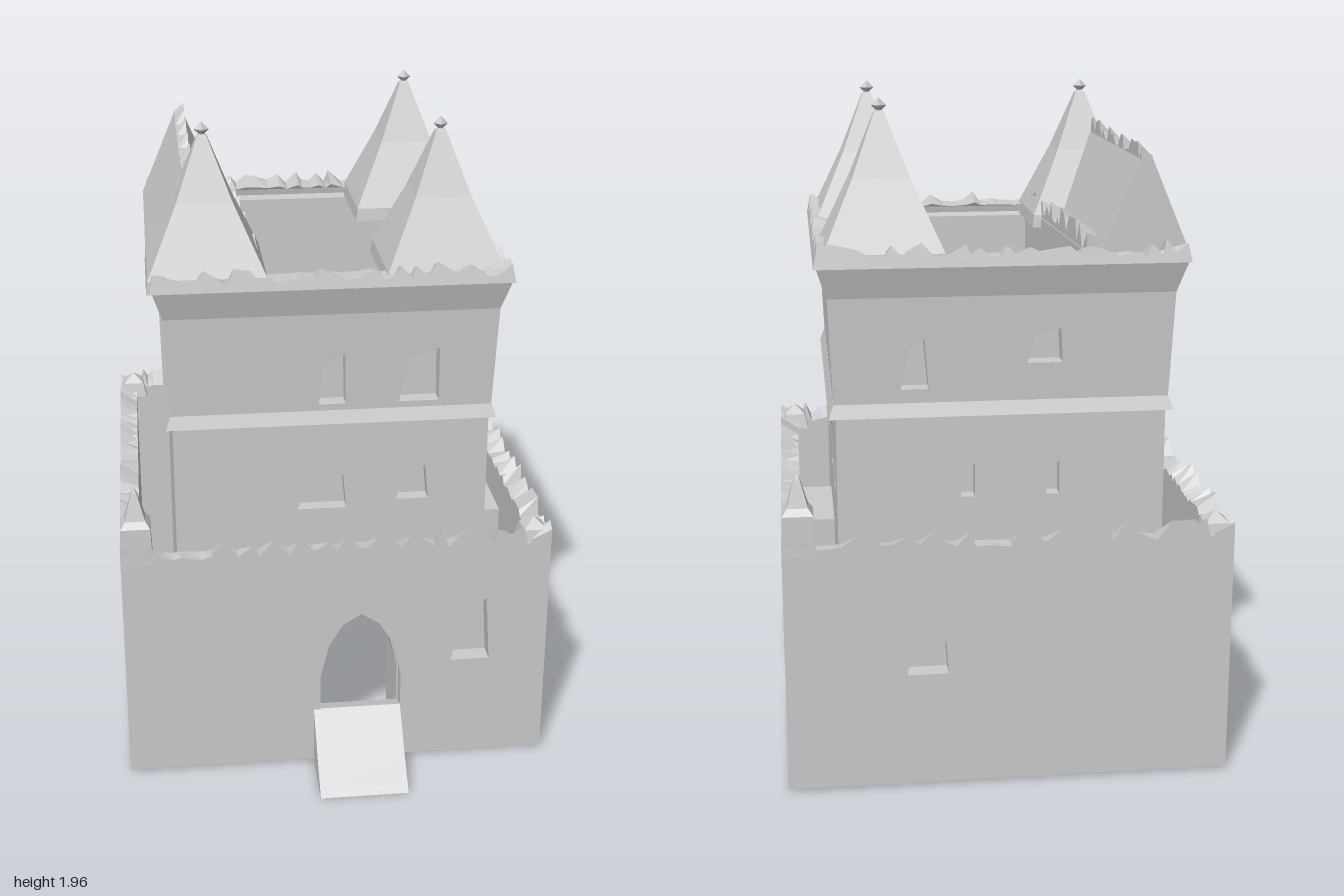
import * as THREE from 'three';

const mat = new THREE.MeshStandardMaterial({ color: 0xcccccc, flatShading: true, side: THREE.DoubleSide });

// Small seeded generator for the weathered edges
let seed = 7;
const rnd = () => (seed = (seed * 16807) % 2147483647) / 2147483647;

const shapeOf = pts => new THREE.Shape(pts.map(p => new THREE.Vector2(...p)));
const extrude = (shape, depth) => new THREE.ExtrudeGeometry(shape, { depth, bevelEnabled: false });

function add(parent, name, geo, x = 0, y = 0, z = 0) {
  const m = new THREE.Mesh(geo, mat);
  m.name = name;
  m.position.set(x, y, z);
  parent.add(m);
  return m;
}

// Pointed arch opening, traced from right foot to left foot
function archPoints(base, c, half, top) {
  const k = [[1, 0], [1, 0.58], [0.78, 0.8], [0.45, 0.93], [0, 1]];
  const pts = k.map(([a, b]) => [a * half, Math.max(base, b * top)]);
  const left = pts.slice(0, 4).reverse().map(([x, y]) => [-x, y]);
  return [...pts, ...left].map(([x, y]) => [c + x, y]);
}

// Wall panel: outer face on z = 0, with optional door notch, slanted windows,
// outward flare and a broken top edge that rises by up to jag
function panelGeo({ w, y0, y1, t, door, windows = [], o0 = 0, o1 = 0, jag = 0 }) {
  const h = w / 2;
  const pts = [[-h, y0], [-h, y1 + jag * 0.7]];
  if (jag) {
    let high = false;
    for (let u = -h + 0.03; u < h - 0.03; u += 0.012 + rnd() * 0.035) {
      high = rnd() < 0.65 ? !high : high;
      pts.push([u, y1 + jag * (high ? 0.5 + rnd() * 0.5 : rnd() * 0.3)]);
    }
  }
  pts.push([h, y1 + jag * 0.7], [h, y0]);
  if (door) pts.push(...archPoints(y0, ...door));
  const s = shapeOf(pts);
  for (const [c, b, ww, hh, skew = 0] of windows) {
    s.holes.push(shapeOf([
      [c - ww / 2, b], [c + ww / 2, b], [c + ww / 2 - skew / 3, b + hh], [c - ww / 2 + skew, b + hh * 0.85],
    ]));
  }
  const g = extrude(s, t).translate(0, 0, -t);
  const p = g.attributes.position;
  for (let i = 0; i < p.count; i++) {
    const y = p.getY(i);
    const out = o0 + (o1 - o0) * (y - y0) / (y1 - y0);
    // Broken stones slope down towards the inside
    if (y > y1 && p.getZ(i) < -t / 2) p.setY(i, y1 + (y - y1) * 0.35);
    p.setX(i, p.getX(i) * (h + out) / h);
    p.setZ(i, p.getZ(i) + out);
  }
  g.computeVertexNormals();
  return g;
}

// Four panels around a rectangle; sides run front, left (+x), back, right (-x)
function ring(parent, name, hx, hz, opts, sides = [{}, {}, {}, {}]) {
  sides.forEach((side, i) => {
    const [w, d] = i % 2 ? [2 * hz, hx] : [2 * hx, hz];
    const a = i * Math.PI / 2;
    const m = add(parent, name, panelGeo({ w, ...opts, ...side }), Math.sin(a) * d, 0, Math.cos(a) * d);
    m.rotation.y = a;
  });
}

// Square lathe from [half width, y] pairs
function squareLathe(pts) {
  return new THREE.LatheGeometry(pts.map(([r, y]) => new THREE.Vector2(r * Math.SQRT2, y)), 4)
    .toNonIndexed().rotateY(Math.PI / 4);
}

export function createModel() {
  const root = new THREE.Group();
  root.name = 'castle';

  // Outer wall with two arched doors
  const outer = new THREE.Group();
  outer.name = 'outerWall';
  outer.position.z = -0.095;
  root.add(outer);
  ring(outer, 'outerWallSide', 0.648, 0.707, { y0: 0.01, y1: 0.73, t: 0.058, jag: 0.065 }, [
    { door: [0.07, 0.125, 0.52], windows: [[0.41, 0.34, 0.12, 0.21, 0.04]] },
    { door: [-0.09, 0.115, 0.53] },
    { windows: [[-0.24, 0.35, 0.12, 0.1, 0.02]] },
    {},
  ]);

  // Corner spikes on two opposite corners, low stubs on the others
  for (const [x, z, tall] of [[-0.6, 0.66, 1], [0.6, -0.66, 1], [0.6, 0.66, 0], [-0.6, -0.66, 0]]) {
    add(outer, 'cornerSpike', squareLathe(tall
      ? [[0, 0.72], [0.048, 0.72], [0.044, 0.84], [0.03, 0.86], [0.008, 0.94], [0, 0.96]]
      : [[0, 0.72], [0.046, 0.72], [0.035, 0.77], [0, 0.8]]), x, 0, z);
  }

  // Keep: stacked storeys with windows, ledge and flared top
  const keep = new THREE.Group();
  keep.name = 'keep';
  keep.position.set(0.003, 0, -0.105);
  root.add(keep);
  const hx = 0.481, hz = 0.508;
  ring(keep, 'keepLowerWall', hx, hz, { y0: 0, y1: 1.08, t: 0.055 }, [
    { door: [0.07, 0.12, 0.52], windows: [[-0.03, 0.78, 0.15, 0.11, 0.03], [0.25, 0.8, 0.1, 0.11, 0.03]] },
    { y0: 0.12, door: [-0.095, 0.11, 0.53],
      windows: [[-0.36, 0.8, 0.08, 0.11, 0.02], [0, 0.78, 0.1, 0.15, 0.03], [0.26, 0.78, 0.14, 0.1, 0.01]] },
    { y0: 0.12, windows: [[-0.1, 0.82, 0.04, 0.1], [0.15, 0.82, 0.04, 0.1]] },
    {},
  ]);
  ring(keep, 'keepUpperWall', hx, hz, { y0: 1.08, y1: 1.42, t: 0.06, o0: 0.004, o1: 0.018 }, [
    { windows: [[0, 1.13, 0.08, 0.16, 0.01], [0.26, 1.13, 0.12, 0.17, 0.02]] },
    { windows: [[-0.31, 1.15, 0.07, 0.18, 0.02], [0, 1.13, 0.12, 0.17, 0.03], [0.27, 1.14, 0.08, 0.15, 0.02]] },
    { windows: [[-0.25, 1.15, 0.08, 0.15, 0.03], [0.12, 1.22, 0.1, 0.1, 0.02]] },
    {},
  ]);
  // Inner lining closes the window recesses
  ring(keep, 'windowLining', hx - 0.046, hz - 0.046, { y0: 0.7, y1: 1.5, t: 0.012 });
  ring(keep, 'ledge', hx, hz, { y0: 1.07, y1: 1.11, t: 0.05, o0: 0.02, o1: 0.006 });
  ring(keep, 'flare', hx, hz, { y0: 1.42, y1: 1.51, t: 0.07, o0: 0.018, o1: 0.046 });
  ring(keep, 'parapet', hx, hz, { y0: 1.51, y1: 1.53, t: 0.085, o0: 0.054, o1: 0.05, jag: 0.05 });

  // Solid wing along the right side, its inner face slightly askew
  const footprint = shapeOf([[-0.455, -0.48], [-0.2, -0.48], [-0.245, 0.48], [-0.455, 0.48]]);
  add(keep, 'wing', extrude(footprint, 1.53).rotateX(-Math.PI / 2));

  // Gabled roof on the wing with broken crests
  const gable = shapeOf([[-0.54, 1.53], [-0.28, 1.53], [-0.395, 1.8], [-0.425, 1.8]]);
  add(keep, 'gableRoof', extrude(gable, 0.86), 0, 0, -0.5);
  for (const [name, x, z, w, y0, y1, t, jag, turn] of [
    ['ridgeCrest', -0.393, -0.11, 0.78, 1.76, 1.79, 0.032, 0.06, 0],
    ['wingCrest', -0.228, -0.05, 0.84, 1.5, 1.53, 0.07, 0.08, 0.045],
  ]) {
    add(keep, name, panelGeo({ w, y0, y1, t, jag }), x, 0, z).rotation.y = Math.PI / 2 + turn;
  }

  // Pyramid spires with finials
  for (const [x, z] of [[0.335, -0.335], [0.335, 0.355], [-0.365, 0.355]]) {
    add(keep, 'spire', squareLathe([[0, 1.5], [0.178, 1.5], [0.173, 1.54], [0.083, 1.74], [0.015, 1.92], [0, 1.93]]),
      x, 0, z);
    add(keep, 'finial', new THREE.OctahedronGeometry(0.022), x, 1.94, z);
  }

  // Covered passages joining the doors to the keep
  add(root, 'frontPassage',
    panelGeo({ w: 0.32, y0: 0, y1: 0.62, t: 0.18, door: [0.03, 0.12, 0.52] }), 0.04, 0, 0.56);
  add(root, 'sidePassage',
    panelGeo({ w: 0.34, y0: 0, y1: 0.62, t: 0.13, door: [-0.01, 0.11, 0.53] }), 0.6, 0, -0.02)
    .rotation.y = Math.PI / 2;
  add(root, 'sideThreshold', new THREE.BoxGeometry(0.16, 0.09, 0.22), 0.55, 0.045, -0.01);

  // Entrance ramp
  const ramp = shapeOf([[0.55, 0], [0.81, 0], [0.79, 0.02], [0.73, 0.07], [0.61, 0.19], [0.55, 0.17]]);
  add(root, 'ramp', extrude(ramp, 0.27), 0.195, 0, 0).rotation.y = -Math.PI / 2;

  return root;
}
